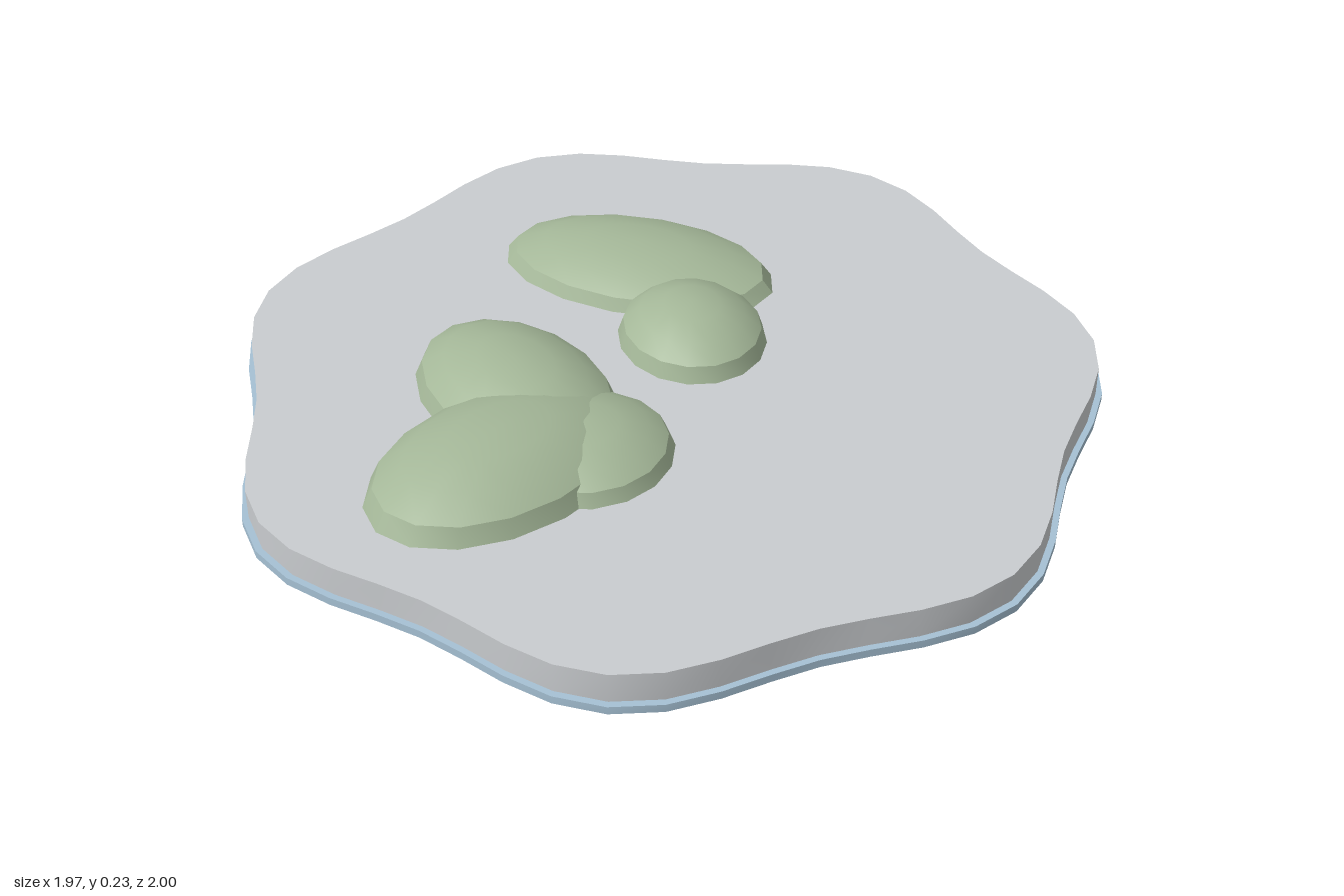
import * as THREE from 'three';
import { toCreasedNormals } from 'three/addons/utils/BufferGeometryUtils.js';

const stone = new THREE.MeshStandardMaterial({ color: 0xc9cccf });
stone.name = 'stone grey';
const rimBlue = new THREE.MeshStandardMaterial({ color: 0xa6c1d4 });
rimBlue.name = 'pale blue';
const moss = new THREE.MeshStandardMaterial({ color: 0xa4b798 });
moss.name = 'moss green';

const SEGMENTS = 56, LOBES = 7, CENTER_X = -0.041;

// Point on the seven-lobed outline
function outlinePoint(i, scale) {
  const t = (i / SEGMENTS) * Math.PI * 2;
  const r = (0.975 + 0.042 * Math.cos(LOBES * t)) * scale;
  return [r * Math.cos(t), r * Math.sin(t)];
}

// Wavy slab: flat caps and a smooth side wall
function slab(name, material, scale, y0, y1) {
  const group = new THREE.Group();
  group.name = name;

  const shape = new THREE.Shape();
  for (let i = 0; i < SEGMENTS; i++) {
    const [x, z] = outlinePoint(i, scale);
    if (i === 0) shape.moveTo(x, z); else shape.lineTo(x, z);
  }
  const capGeometry = new THREE.ShapeGeometry(shape);
  for (const [capName, y, tilt] of [['Top', y1, -1], ['Bottom', y0, 1]]) {
    const cap = new THREE.Mesh(capGeometry, material);
    cap.name = name + capName;
    cap.rotation.x = tilt * Math.PI / 2;
    cap.position.y = y;
    group.add(cap);
  }

  // Open cylinder whose columns are moved onto the outline
  const wallGeometry = new THREE.CylinderGeometry(1, 1, y1 - y0, SEGMENTS, 1, true);
  const pos = wallGeometry.attributes.position;
  for (let v = 0; v < pos.count; v++) {
    const [x, z] = outlinePoint(-(v % (SEGMENTS + 1)), scale);
    pos.setXYZ(v, x, pos.getY(v) + (y0 + y1) / 2, z);
  }
  wallGeometry.computeVertexNormals();
  // Match the normals across the seam
  const normal = wallGeometry.attributes.normal;
  for (const row of [0, SEGMENTS + 1]) {
    normal.setXYZ(row, 1, 0, 0);
    normal.setXYZ(row + SEGMENTS, 1, 0, 0);
  }
  const wall = new THREE.Mesh(wallGeometry, material);
  wall.name = name + 'Wall';
  group.add(wall);

  group.position.x = CENTER_X;
  return group;
}

// Moss clumps: x, z, half length, half width, half height, turn in degrees (+x toward +z)
const CLUMPS = [
  ['backMoss', -0.055, -0.425, 0.338, 0.195, 0.084, 25],
  ['middleMoss', 0.038, -0.127, 0.193, 0.172, 0.103, 80],
  ['leftMoss', -0.38, 0.06, 0.295, 0.2, 0.111, 61],
  ['frontMoss', -0.43, 0.312, 0.328, 0.222, 0.114, -34],
  ['innerMoss', -0.243, 0.28, 0.2, 0.19, 0.087, -45],
];

export function createModel() {
  const model = new THREE.Group();
  model.name = 'mossySlab';

  model.add(slab('rim', rimBlue, 1, 0.026, 0.045));
  model.add(slab('stone', stone, 0.985, 0.045, 0.116));

  // Flattened spheres, creased where the steep rim meets the top
  for (const [name, x, z, length, width, height, turn] of CLUMPS) {
    const geometry = new THREE.SphereGeometry(1, 16, 8).scale(length, height, width);
    const clump = new THREE.Mesh(toCreasedNormals(geometry, 0.48), moss);
    clump.name = name;
    clump.position.set(x, 0.115, z);
    clump.rotation.y = -THREE.MathUtils.degToRad(turn);
    model.add(clump);
  }
  return model;
}
